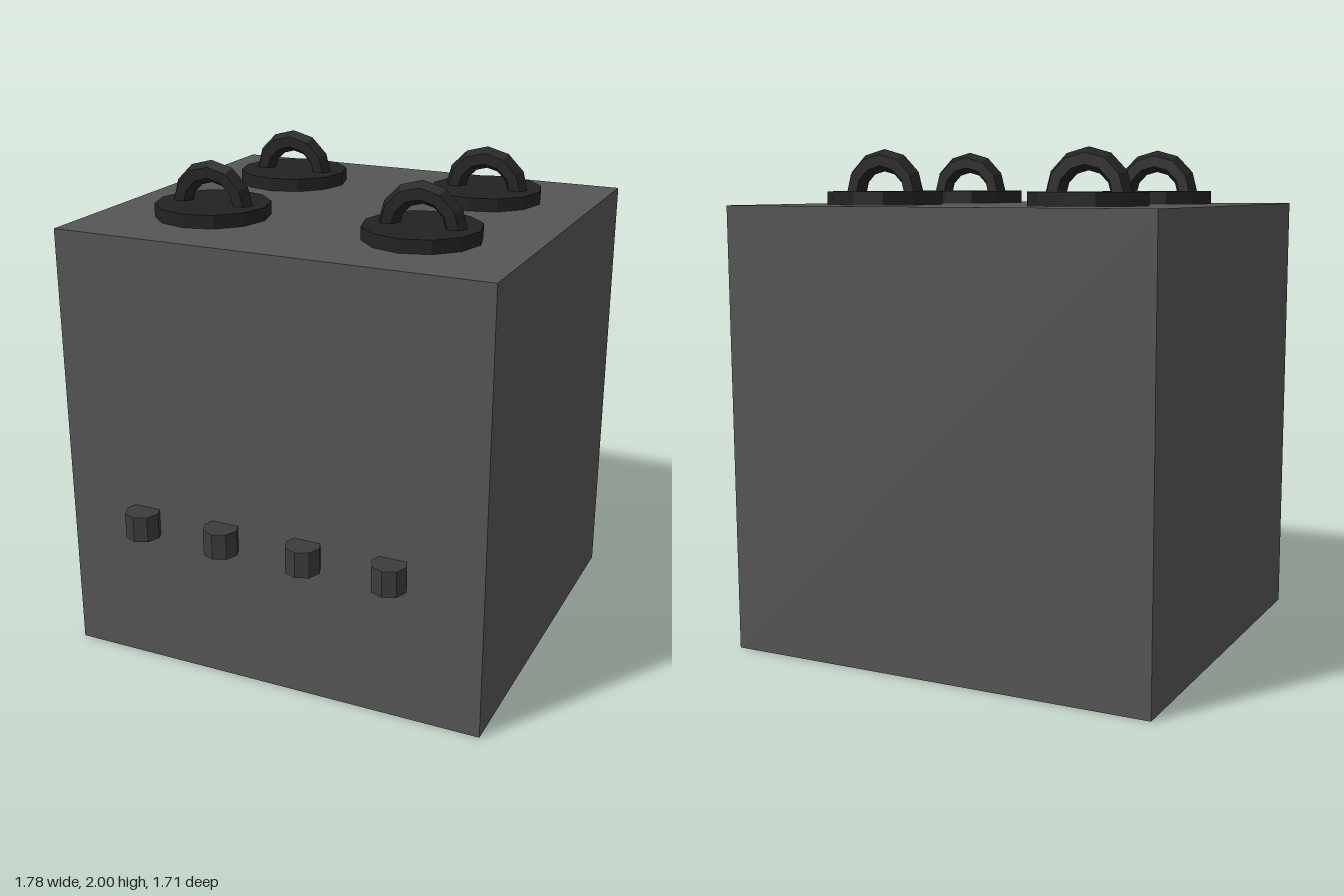
import * as THREE from 'three';

const material = (color) => new THREE.MeshStandardMaterial({ color, flatShading: true });

function addMesh(parent, name, geometry, mat, x, y, z) {
  const mesh = new THREE.Mesh(geometry, mat);
  mesh.name = name;
  mesh.position.set(x, y, z);
  parent.add(mesh);
  return mesh;
}

export function createModel() {
  const model = new THREE.Group();
  model.name = 'stove';

  const bodyMat = material(0x555555);
  const lidMat = material(0x222222);
  const knobMat = material(0x3c3c3c);

  // Plain box body; the knobs project beyond its front face
  addMesh(model, 'body', new THREE.BoxGeometry(1.78, 1.78, 1.6), bodyMat, 0, 0.89, -0.054);

  // Four round lids, each with an arched handle
  const plateGeo = new THREE.CylinderGeometry(0.23, 0.23, 0.055, 12);
  const handleGeo = new THREE.TorusGeometry(0.136, 0.044, 6, 6, Math.PI);
  for (const z of [-0.412, 0.302]) {
    for (const x of [-0.445, 0.445]) {
      const lid = new THREE.Group();
      lid.name = 'lid';
      lid.position.set(x, 1.78, z);
      addMesh(lid, 'lidPlate', plateGeo, lidMat, 0, 0.0255, 0);
      addMesh(lid, 'lidHandle', handleGeo, lidMat, 0, 0.04, 0);
      model.add(lid);
    }
  }

  // Row of octagonal knobs, half sunk into the front
  const knobGeo = new THREE.CylinderGeometry(0.071, 0.071, 0.106, 8);
  for (let i = 0; i < 4; i++) {
    addMesh(model, 'knob', knobGeo, knobMat, -0.536 + i * 0.355, 0.623, 0.783);
  }

  return model;
}
